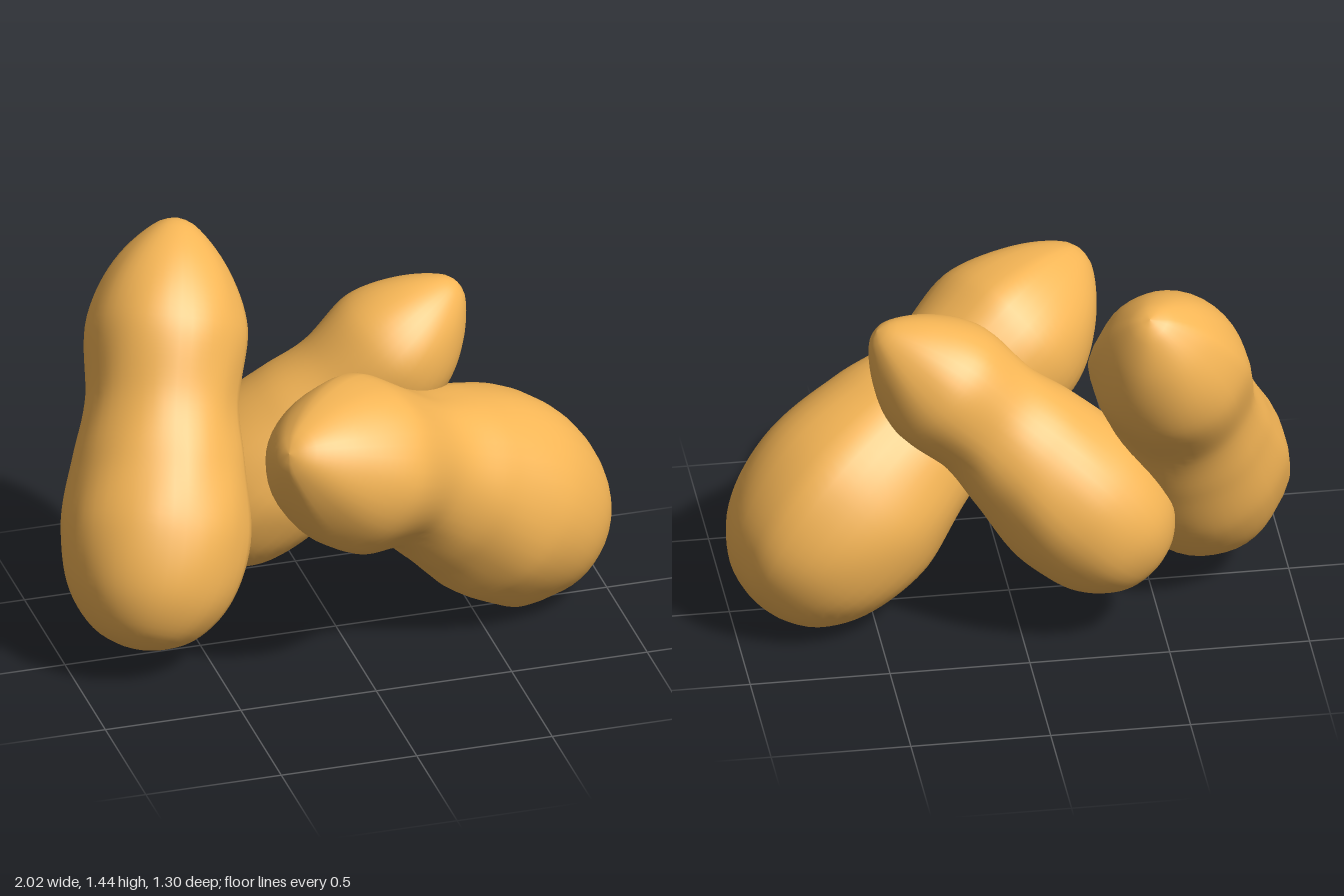
import * as THREE from 'three';

const SIDES = 40, RINGS = 60;
const shell = new THREE.MeshStandardMaterial({ color: 0xf6b656 });

// One pod: a two-lobed profile swept along a gently bent axis, with a seam ridge on both sides.
function makePod({ name, axis, radii: [small, waist, big], waistAt, seam, ridge }) {
  const path = new THREE.CatmullRomCurve3(axis.map(p => new THREE.Vector3(...p)), false, 'centripetal');
  const len = path.getLength();
  // distance along the axis, radius
  const profile = new THREE.CatmullRomCurve3([
    [0, 0], [0.01, 0.2 * small], [0.1, 0.68 * small], [0.56 * waistAt, small], [waistAt, waist],
    [waistAt + 0.13, 0.5 * waist + 0.5 * big], [0.73, big], [0.88, 0.84 * big],
    [0.965, 0.52 * big], [0.995, 0.2 * big], [1, 0],
  ].map(([s, r]) => new THREE.Vector3(s * len, r, 0)), false, 'centripetal');

  const pos = [], index = [];
  const side = new THREE.Vector3(...seam);
  for (let i = 0; i <= RINGS; i++) {
    const q = profile.getPointAt(i / RINGS);
    const s = THREE.MathUtils.clamp(q.x / len, 0, 1);
    const r = Math.max(q.y, 0);
    const c = path.getPointAt(s), t = path.getTangentAt(s);
    const u = side.clone().addScaledVector(t, -t.dot(side)).normalize();
    const v = new THREE.Vector3().crossVectors(t, u);
    for (let j = 0; j < SIDES; j++) {
      const a = (j / SIDES) * Math.PI * 2;
      // seam ridge plus a faint unevenness of the shell
      const k = 1 + ridge * Math.abs(Math.cos(a)) ** 50
        + 0.006 * Math.sin(3 * a + 9 * s) + 0.005 * Math.sin(7 * a - 23 * s);
      const p = c.clone().addScaledVector(u, r * k * Math.cos(a)).addScaledVector(v, r * k * Math.sin(a));
      pos.push(p.x, p.y, p.z);
      if (i < RINGS) {
        const n = (j + 1) % SIDES, A = i * SIDES + j, B = i * SIDES + n;
        index.push(A, B, A + SIDES, B, B + SIDES, A + SIDES);
      }
    }
  }
  const geo = new THREE.BufferGeometry();
  geo.setAttribute('position', new THREE.Float32BufferAttribute(pos, 3));
  geo.setIndex(index);
  geo.computeVertexNormals();
  const mesh = new THREE.Mesh(geo, shell);
  mesh.name = name;
  return mesh;
}

// Axis points run from the pointed tip through small lobe, waist and big lobe to the blunt end.
const pods = [
  {
    name: 'frontPeanut', radii: [0.305, 0.27, 0.37], waistAt: 0.42, seam: [0.3, 0.7, -0.6], ridge: 0.05,
    axis: [[-0.34, 1.05, 0.56], [-0.06, 0.865, 0.36], [0.2, 0.72, 0.2], [0.58, 0.45, -0.01], [0.9, 0.1, -0.14]],
  },
  {
    name: 'leftPeanut', radii: [0.272, 0.26, 0.322], waistAt: 0.43, seam: [1, 0, 0.25], ridge: 0.05,
    axis: [[-0.42, 1.43, -0.56], [-0.51, 1.13, -0.38], [-0.58, 0.86, -0.21], [-0.675, 0.47, 0.02], [-0.78, 0.14, 0.2]],
  },
  {
    name: 'backPeanut', radii: [0.24, 0.232, 0.295], waistAt: 0.4, seam: [0, 0.3, 1], ridge: 0.015,
    axis: [[0.5, 1.23, -0.17], [0.27, 1.01, -0.18], [0.08, 0.83, -0.2], [-0.2, 0.54, -0.26], [-0.46, 0.25, -0.31]],
  },
];

export function createModel() {
  const group = new THREE.Group();
  group.name = 'peanuts';
  for (const pod of pods) group.add(makePod(pod));
  return group;
}
